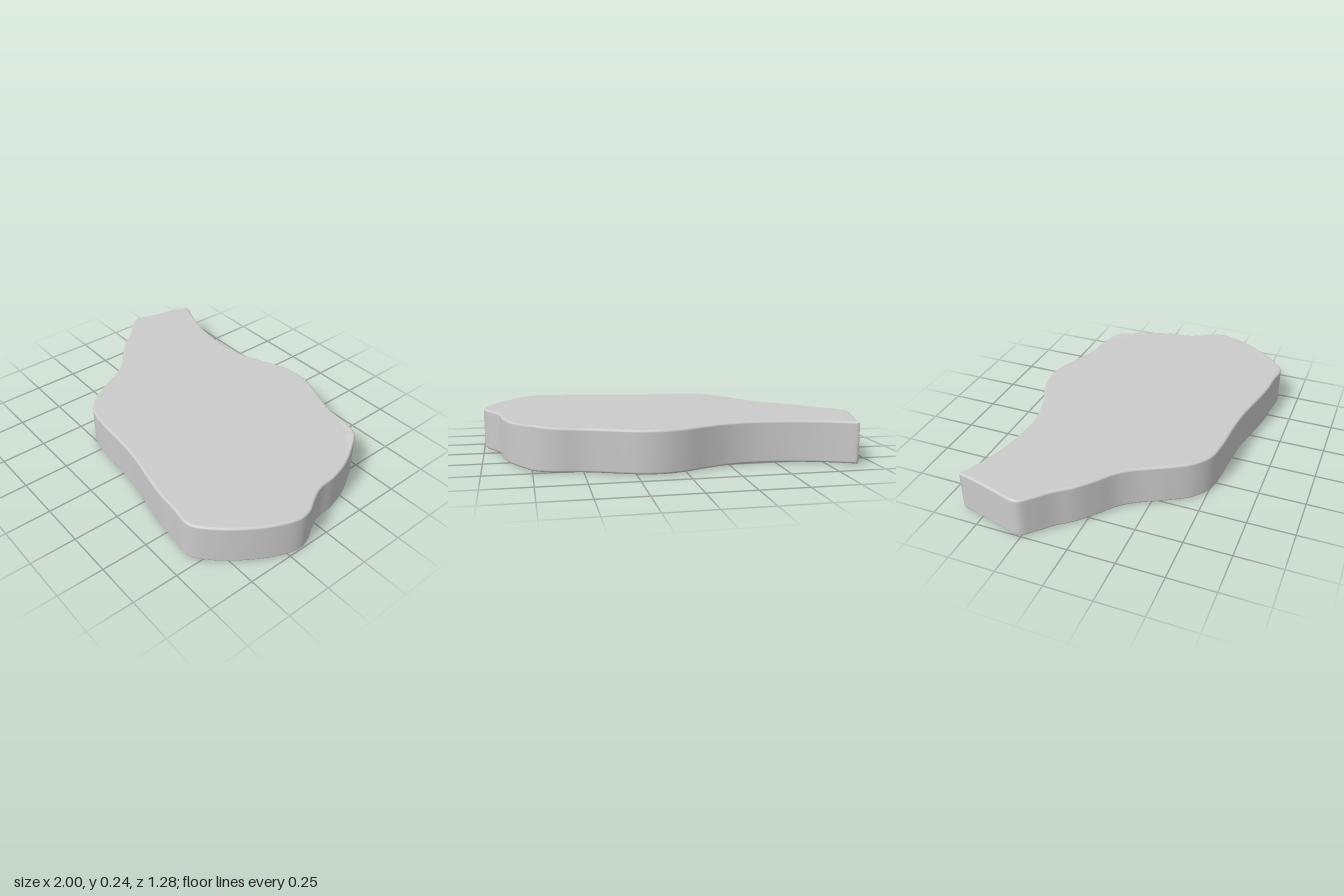
import * as THREE from 'three';

// Slab outline seen from above, as x, z pairs
const OUTLINE = [
  -0.911, -0.624, -0.89, -0.618, -0.8, -0.58, -0.66, -0.537, -0.52, -0.513, -0.38, -0.505, -0.25, -0.522,
  -0.13, -0.562, 0, -0.617, 0.11, -0.64, 0.22, -0.631, 0.36, -0.58, 0.5, -0.531,
  0.64, -0.507, 0.735, -0.465, 0.8, -0.375, 0.86, -0.26, 0.895, -0.14, 0.908, -0.03,
  0.945, 0.05, 0.985, 0.12, 0.998, 0.19, 0.97, 0.29, 0.9, 0.42, 0.8, 0.55,
  0.71, 0.627, 0.66, 0.638, 0.57, 0.625, 0.45, 0.616, 0.33, 0.595, 0.13, 0.555,
  0, 0.54, -0.2, 0.527, -0.32, 0.505, -0.41, 0.44, -0.49, 0.32, -0.56, 0.19,
  -0.62, 0.11, -0.72, 0.03, -0.8, -0.04, -0.87, -0.125, -0.95, -0.2,
  -0.995, -0.25, -0.998, -0.29, -0.97, -0.39, -0.925, -0.56, -0.915, -0.612,
];
const HEIGHT = 0.222, RADIUS = 0.012, SEGMENTS = 360;

function createSlabGeometry() {
  const points = [];
  for (let i = 0; i < OUTLINE.length; i += 2) points.push(new THREE.Vector3(OUTLINE[i], 0, OUTLINE[i + 1]));
  const curve = new THREE.CatmullRomCurve3(points, true);
  curve.arcLengthDivisions = 1000;

  // Edge profile from bottom to top: [inset, y, how much of the lip it carries]
  const profile = [];
  for (let k = 0; k <= 4; k++) {
    const a = (k / 4) * Math.PI / 2;
    profile.push([RADIUS * (1 - Math.sin(a)), RADIUS * (1 - Math.cos(a)), 0]);
  }
  for (let k = 0; k <= 4; k++) {
    const a = (k / 4) * Math.PI / 2;
    profile.push([RADIUS * (1 - Math.cos(a)), HEIGHT - RADIUS * (1 - Math.sin(a)), 1]);
  }
  profile.push([RADIUS, HEIGHT, 0]);

  const positions = [], indices = [], last = profile.length - 1;
  profile.forEach(([inset, y, lipShare], r) => {
    for (let i = 0; i < SEGMENTS; i++) {
      const p = curve.getPointAt(i / SEGMENTS), t = curve.getTangentAt(i / SEGMENTS);
      // Slight raised lip around the back left corner
      const reach = Math.max(0, 1 - Math.hypot(p.x - 0.74, p.z + 0.46) / 0.28);
      const lip = reach * reach;
      const d = inset + (r === last ? 0.04 * lip : 0);
      positions.push(p.x - t.z * d, y + 0.014 * lip * lipShare, p.z + t.x * d);
    }
  });

  // Wall and rounded rims
  for (let r = 0; r < last; r++) {
    for (let i = 0; i < SEGMENTS; i++) {
      const j = (i + 1) % SEGMENTS, a = r * SEGMENTS, b = a + SEGMENTS;
      indices.push(a + i, b + i, a + j, a + j, b + i, b + j);
    }
  }
  // Flat bottom and top
  for (const r of [0, last]) {
    const start = r * SEGMENTS, contour = [];
    for (let i = 0; i < SEGMENTS; i++) {
      contour.push(new THREE.Vector2(positions[(start + i) * 3], positions[(start + i) * 3 + 2]));
    }
    for (const [a, b, c] of THREE.ShapeUtils.triangulateShape(contour, [])) {
      if (r === 0) indices.push(start + a, start + b, start + c);
      else indices.push(start + a, start + c, start + b);
    }
  }

  const geometry = new THREE.BufferGeometry();
  geometry.setAttribute('position', new THREE.Float32BufferAttribute(positions, 3));
  geometry.setIndex(indices);
  geometry.computeVertexNormals();
  return geometry;
}

export function createModel() {
  const group = new THREE.Group();
  group.name = 'steppingStone';
  const slab = new THREE.Mesh(createSlabGeometry(), new THREE.MeshStandardMaterial({ color: 0xcccccc }));
  slab.name = 'stoneSlab';
  group.add(slab);
  return group;
}
